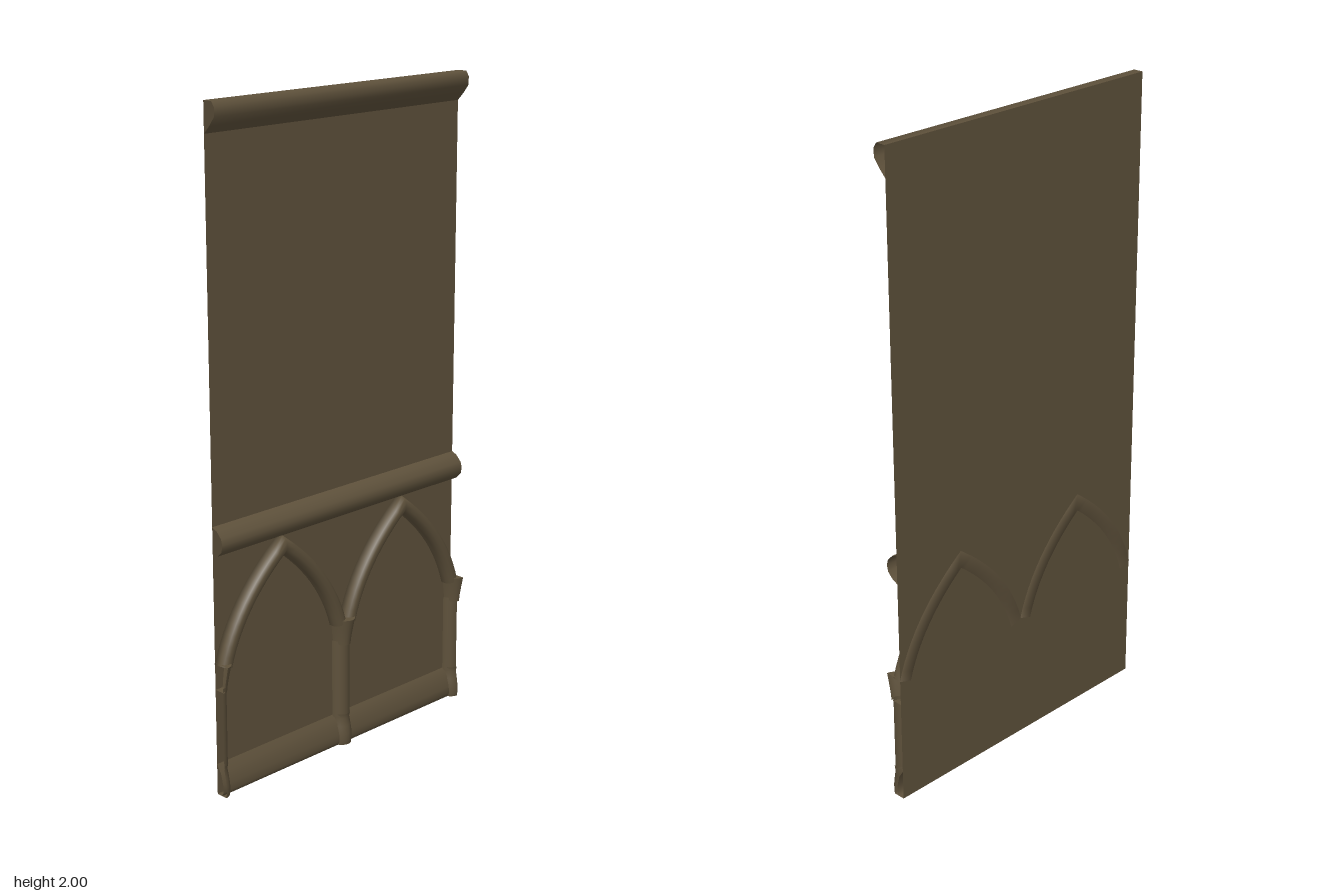
import * as THREE from 'three';

const BACK = -0.028; // plane of the wall sheet

export function createModel() {
  const group = new THREE.Group();
  const stone = new THREE.MeshStandardMaterial({ color: 0x5e513b, side: THREE.DoubleSide });
  stone.name = 'brown stone';

  const add = (geometry, name, parent = group) => {
    const mesh = new THREE.Mesh(geometry, stone);
    mesh.name = name;
    parent.add(mesh);
    return mesh;
  };

  // Skin a list of equal-length cross-sections
  function skin(sections, closed) {
    const n = sections[0].length;
    const index = [];
    for (let i = 0; i < sections.length - 1; i++) {
      for (let j = 0; j < (closed ? n : n - 1); j++) {
        const a = i * n + j, b = i * n + (j + 1) % n;
        index.push(a, b, a + n, b, b + n, a + n);
      }
    }
    const g = new THREE.BufferGeometry();
    g.setAttribute('position', new THREE.Float32BufferAttribute(sections.flat(2), 3));
    g.setIndex(index);
    g.computeVertexNormals();
    return g;
  }

  // Open moulding running the width of the wall; profile is [x, y] from top to bottom
  const moulding = (profile, name) =>
    add(skin([0.5, -0.5].map(z => profile.map(([x, y]) => [x, y, z])), false), name);

  // Wall sheet
  const wall = new THREE.PlaneGeometry(1, 2);
  wall.rotateY(Math.PI / 2);
  wall.translate(BACK, 1, 0);
  add(wall, 'wallPanel');

  // Horizontal mouldings
  moulding([[BACK, 2], [0.003, 2], [0.013, 1.985], [0.013, 1.96], [-0.006, 1.935], [BACK, 1.912]], 'cornice');
  moulding([[BACK, 0.82], [-0.01, 0.812], [0.008, 0.793], [0.013, 0.775], [0.009, 0.755], [-0.008, 0.738], [BACK, 0.728]], 'dadoRail');
  moulding([[BACK, 0.095], [-0.012, 0.07], [-0.003, 0.035], [-0.002, 0.012], [-0.008, 0], [BACK, 0]], 'skirting');

  // Half columns: whole in the middle, cut in two at the wall ends
  function column(z, phiStart, phiLength, name) {
    const col = new THREE.Group();
    col.name = name;
    col.position.set(BACK, 0, z);
    group.add(col);
    const turned = (points, depth, part) => {
      const g = new THREE.LatheGeometry(points.map(p => new THREE.Vector2(...p)),
        Math.round(12 * phiLength / Math.PI), phiStart, phiLength);
      g.scale(depth, 1, 1);
      add(g, part, col);
    };
    turned([[0, 0], [0.032, 0]], 1.2, 'baseUnderside');
    turned([[0.032, 0], [0.034, 0.012], [0.034, 0.035], [0.031, 0.06], [0.027, 0.085], [0.03, 0.1]], 1.17, 'base');
    turned([[0.031, 0.09], [0.031, 0.34]], 1, 'shaft');
    turned([[0, 0.328], [0.027, 0.328]], 1.3, 'capitalUnderside');
    turned([[0.027, 0.328], [0.029, 0.35], [0.033, 0.38], [0.038, 0.412]], 1.45, 'capital');
    turned([[0.038, 0.412], [0, 0.412]], 1.45, 'capitalTop');
  }
  column(0, 0, Math.PI, 'middleColumn');
  column(0.5, Math.PI / 2, Math.PI / 2, 'frontEndColumn');
  column(-0.5, 0, Math.PI / 2, 'backEndColumn');

  // Pointed arches: a rounded rib swept along two mirrored curves, mitred at the tip
  const half = new THREE.QuadraticBezierCurve(
    new THREE.Vector2(-0.23, 0.4), new THREE.Vector2(-0.18, 0.575), new THREE.Vector2(0, 0.709)).getPoints(12);
  const path = [...half, ...half.slice(0, -1).reverse().map(p => new THREE.Vector2(-p.x, p.y))];
  const rib = [[-0.022, -0.0292], [-0.022, -0.008], [-0.017, 0.004], [-0.007, 0.011],
    [0.007, 0.011], [0.017, 0.004], [0.022, -0.008], [0.022, -0.0292]];
  const sections = path.map((p, i) => {
    const before = path[Math.max(i - 1, 0)], after = path[Math.min(i + 1, path.length - 1)];
    const t = after.clone().sub(before).normalize();
    const seg = (i > 0 ? p.clone().sub(before) : after.clone().sub(p)).normalize();
    const mitre = 1 / t.dot(seg);
    return rib.map(([o, x]) => [x, p.y + t.x * o * mitre, p.x - t.y * o * mitre]);
  });
  for (const [z, name] of [[0.25, 'frontArch'], [-0.25, 'backArch']]) {
    add(skin(sections, true), name).position.z = z;
  }
  return group;
}
